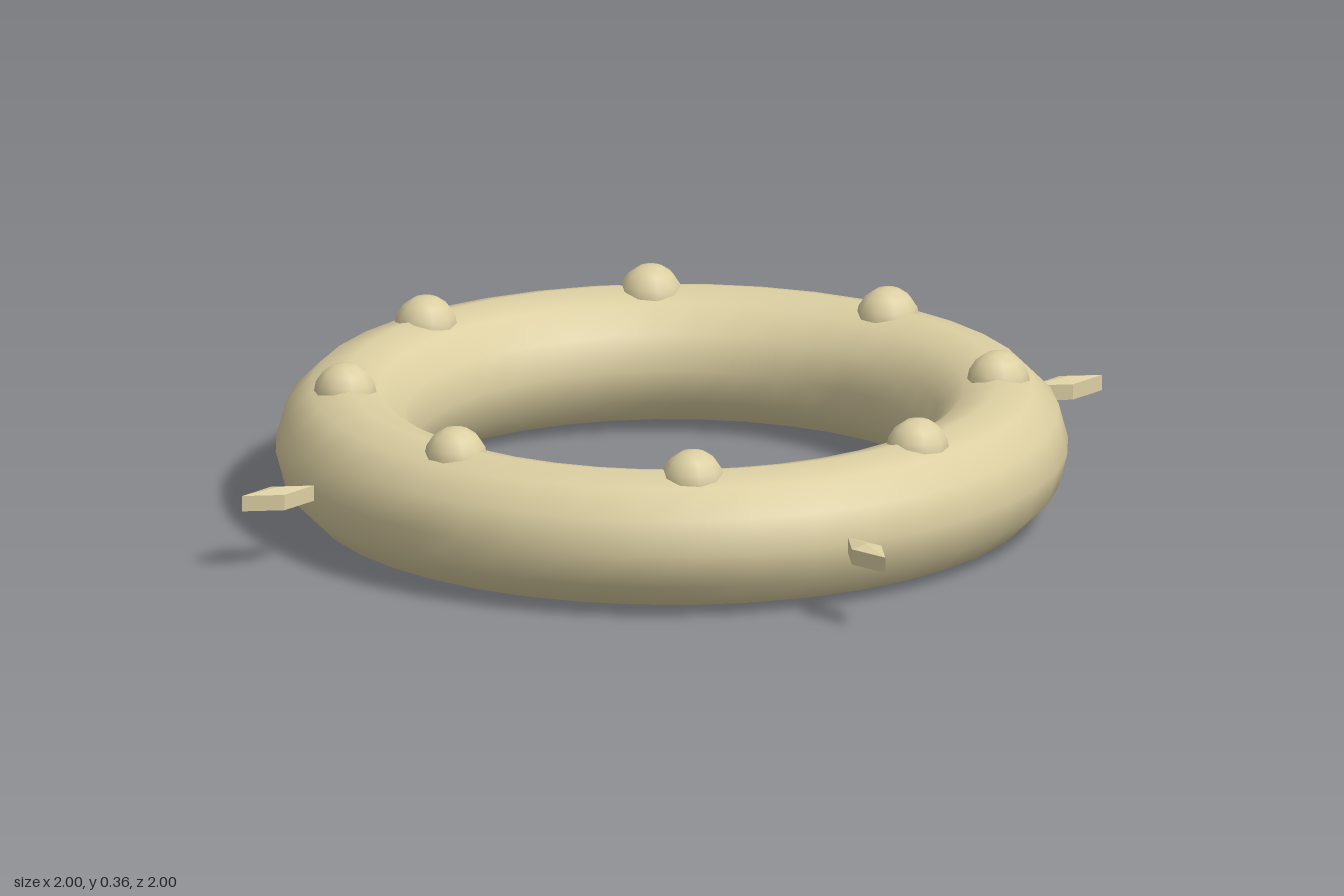
import * as THREE from 'three';

const RING_R = 0.737, TUBE_R = 0.157, MID_Y = 0.158;
const TUBE_SIDES = 12, RING_SIDES = 40, OFFSET = -0.003;

// Flat diamond stud: four upright edges with a shallow peak above and below
function studGeometry() {
  const corners = [[0.085, 0.033], [0.015, -0.033], [-0.085, -0.033], [-0.015, 0.033]];
  const h = 0.018, peak = 0.027, pos = [];
  corners.forEach(([ax, az], i) => {
    const [bx, bz] = corners[(i + 1) % 4];
    pos.push(0, peak, 0, ax, h, az, bx, h, bz);
    pos.push(0, -peak, 0, bx, -h, bz, ax, -h, az);
    pos.push(ax, h, az, ax, -h, az, bx, -h, bz);
    pos.push(ax, h, az, bx, -h, bz, bx, h, bz);
  });
  const g = new THREE.BufferGeometry();
  g.setAttribute('position', new THREE.Float32BufferAttribute(pos, 3));
  g.computeVertexNormals();
  return g;
}

export function createModel() {
  const cream = new THREE.MeshStandardMaterial({ color: 0xdccfa2 });
  cream.name = 'cream';
  const gold = new THREE.MeshStandardMaterial({ color: 0xb8860b });
  gold.name = 'darkGold';

  const model = new THREE.Group();
  model.name = 'studdedRing';

  // Ring, with the two lowest rows of faces in gold
  const ringGeo = new THREE.TorusGeometry(RING_R, TUBE_R, TUBE_SIDES, RING_SIDES);
  ringGeo.rotateX(-Math.PI / 2);
  const row = RING_SIDES * 6;
  ringGeo.clearGroups();
  ringGeo.addGroup(0, 8 * row, 0);
  ringGeo.addGroup(8 * row, 2 * row, 1);
  ringGeo.addGroup(10 * row, 2 * row, 0);
  const ring = new THREE.Mesh(ringGeo, [cream, gold]);
  ring.name = 'ring';
  ring.position.set(OFFSET, MID_Y, OFFSET);
  model.add(ring);

  // Eight round knobs sunk into the top
  const knobGeo = new THREE.SphereGeometry(0.072, 10, 8);
  for (let i = 0; i < 8; i++) {
    const a = (i * Math.PI) / 4;
    const knob = new THREE.Mesh(knobGeo, cream);
    knob.name = 'knob';
    knob.position.set(OFFSET + RING_R * Math.cos(a), 0.291, OFFSET + RING_R * Math.sin(a));
    model.add(knob);
  }

  // Four diamond studs around the rim
  const studGeo = studGeometry();
  studGeo.translate(0.915, MID_Y + 0.004, 0.3775);
  for (let i = 0; i < 4; i++) {
    const stud = new THREE.Mesh(studGeo, cream);
    stud.name = 'rimStud';
    stud.rotation.y = (i * Math.PI) / 2;
    model.add(stud);
  }
  return model;
}
